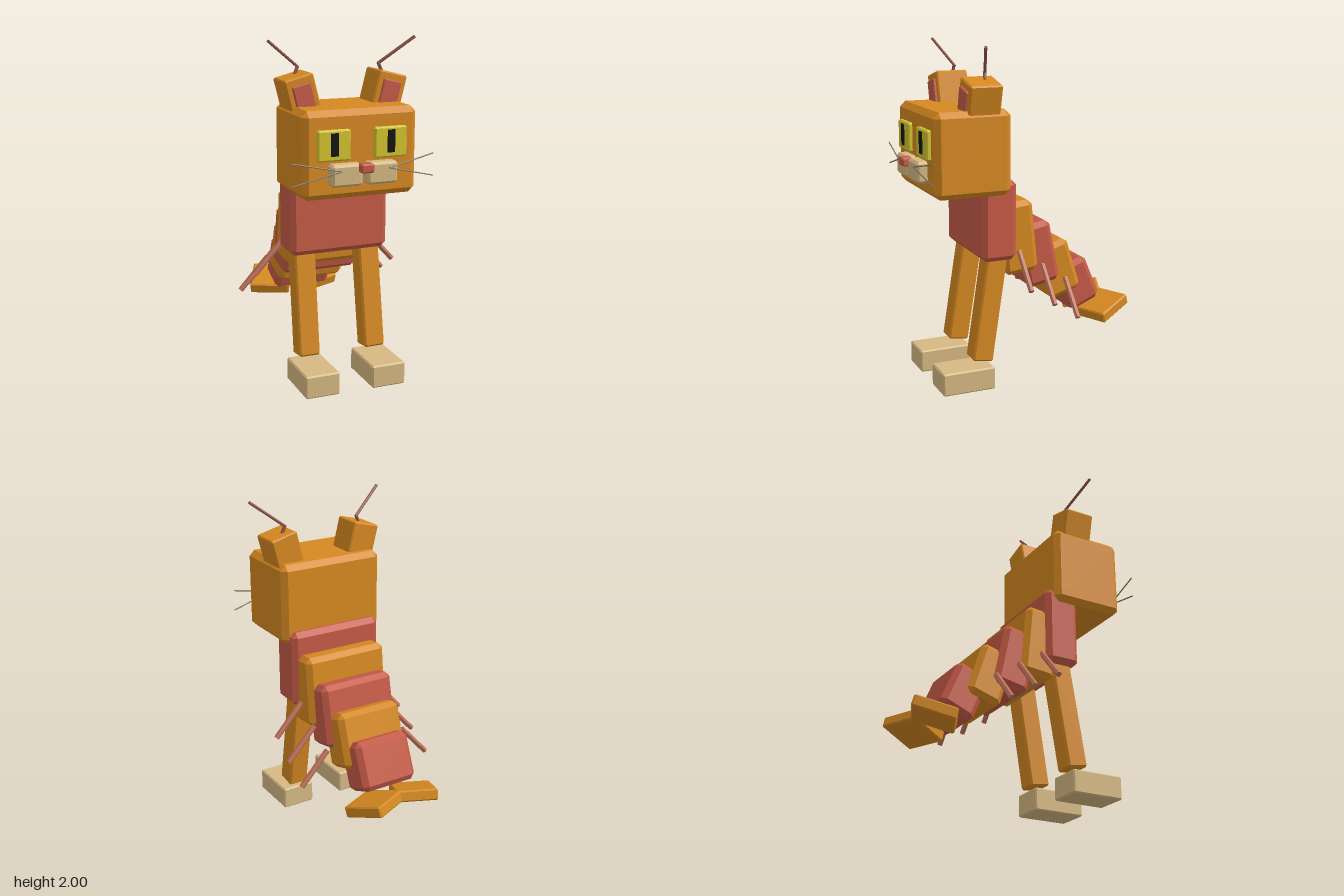
import * as THREE from 'three';
import { ConvexGeometry } from 'three/addons/geometries/ConvexGeometry.js';

const paint = (name, color) => {
  const m = new THREE.MeshStandardMaterial({ color });
  m.name = name;
  return m;
};

// Box with flat chamfers on every edge
function chamferBox(w, h, d, c) {
  const points = [];
  for (const x of [-1, 1]) for (const y of [-1, 1]) for (const z of [-1, 1]) {
    for (let axis = 0; axis < 3; axis++) {
      const inset = [c, c, c];
      inset[axis] = 0;
      points.push(new THREE.Vector3(
        x * (w / 2 - inset[0]), y * (h / 2 - inset[1]), z * (d / 2 - inset[2])));
    }
  }
  return new ConvexGeometry(points);
}

export function createModel() {
  const model = new THREE.Group();
  model.name = 'catCaterpillar';

  const orange = paint('orangeFur', 0xd68921);
  const red = paint('redFur', 0xc65b47);
  const beige = paint('beigePaw', 0xd6b983);
  const yellow = paint('yellowEye', 0xd2c42e);
  const black = paint('blackPupil', 0x111111);
  const pink = paint('rosyLimb', 0xc0735c);
  const brown = paint('brownAntenna', 0x94594a);
  const grey = paint('greyWhisker', 0x8a7f68);

  const box = (name, mat, size, pos, chamfer, rot = [0, 0, 0], parent = model) => {
    const mesh = new THREE.Mesh(chamferBox(...size, chamfer), mat);
    mesh.name = name;
    mesh.position.set(...pos);
    mesh.rotation.set(...rot, 'YXZ');
    parent.add(mesh);
    return mesh;
  };

  const rod = (name, mat, from, to, radius, sides = 6) => {
    const a = new THREE.Vector3(...from), b = new THREE.Vector3(...to);
    const dir = b.clone().sub(a);
    const geo = new THREE.CylinderGeometry(radius, radius, dir.length(), sides).toNonIndexed();
    geo.computeVertexNormals();
    const mesh = new THREE.Mesh(geo, mat);
    mesh.name = name;
    mesh.position.copy(a).add(b).multiplyScalar(0.5);
    mesh.quaternion.setFromUnitVectors(new THREE.Vector3(0, 1, 0), dir.normalize());
    model.add(mesh);
  };

  // Head and nose
  box('head', orange, [0.67, 0.485, 0.453], [0, 1.398, 0.368], 0.033);
  box('nose', red, [0.078, 0.05, 0.065], [0, 1.334, 0.659], 0.008);

  // Body segments, shrinking and leaning more towards the tail
  // [width, height, y, z, tilt]
  const segments = [
    [0.60, 0.47, 1.0, 0.202, 0],
    [0.54, 0.43, 0.883, 0.07, 0.1],
    [0.48, 0.38, 0.763, -0.073, 0.205],
    [0.42, 0.334, 0.648, -0.217, 0.31],
    [0.36, 0.293, 0.531, -0.363, 0.4],
  ];
  segments.forEach(([w, h, y, z, tilt], i) =>
    box('bodySegment' + (i + 1), i % 2 ? orange : red, [w, h, 0.214], [0, y, z], 0.03, [tilt, 0, 0]));

  for (const s of [-1, 1]) {
    const side = s > 0 ? 'left' : 'right';

    // Front legs and paws
    box(side + 'Leg', orange, [0.125, 0.66, 0.124], [s * 0.203, 0.489, 0.249], 0.01, [-0.155, 0, s * 0.01]);
    box(side + 'Paw', beige, [0.207, 0.135, 0.32], [s * 0.205, 0.0675, 0.4], 0.008);

    // Ears with inner panels
    const ear = box(side + 'Ear', orange, [0.172, 0.22, 0.19], [s * 0.256, 1.693, 0.303], 0.008, [0, 0, -s * 0.25]);
    box(side + 'InnerEar', red, [0.108, 0.16, 0.03], [0, -0.012, 0.096], 0.005, [0, 0, 0], ear);

    // Bent antennae on the ears
    rod(side + 'AntennaBase', brown, [s * 0.262, 1.8, 0.275], [s * 0.243, 1.846, 0.272], 0.01);
    rod(side + 'Antenna', brown, [s * 0.24, 1.84, 0.268], [s * 0.436, 1.993, 0.34], 0.009);

    // Eyes and pupils
    box(side + 'Eye', yellow, [0.19, 0.168, 0.04], [s * 0.165, 1.456, 0.6], 0.008);
    box(side + 'Pupil', black, [0.043, 0.125, 0.008], [s * 0.165, 1.462, 0.623], 0.001);

    // Cheeks and whiskers
    box(side + 'Cheek', beige, [0.18, 0.122, 0.085], [s * 0.103, 1.296, 0.614], 0.014);
    for (const tipY of [1.38, 1.255])
      rod(side + 'Whisker', grey, [s * 0.138, 1.323, 0.66], [s * 0.415, tipY, 0.633], 0.004);

    // Thin side limbs
    for (let i = 0; i < 3; i++) {
      const y = -0.097 * i, z = 0.072 - 0.149 * i;
      rod(side + 'SideLimb' + (i + 1), pink, [s * 0.266, 0.808 + y, z], [s * 0.443, 0.612 + y, z], 0.017);
    }

    // Forked tail plate
    box(side + 'TailFin', orange, [0.248, 0.067, 0.25], [s * 0.1375, 0.366, -0.535], 0.008, [0.3, s * 0.42, 0]);
  }
  return model;
}
